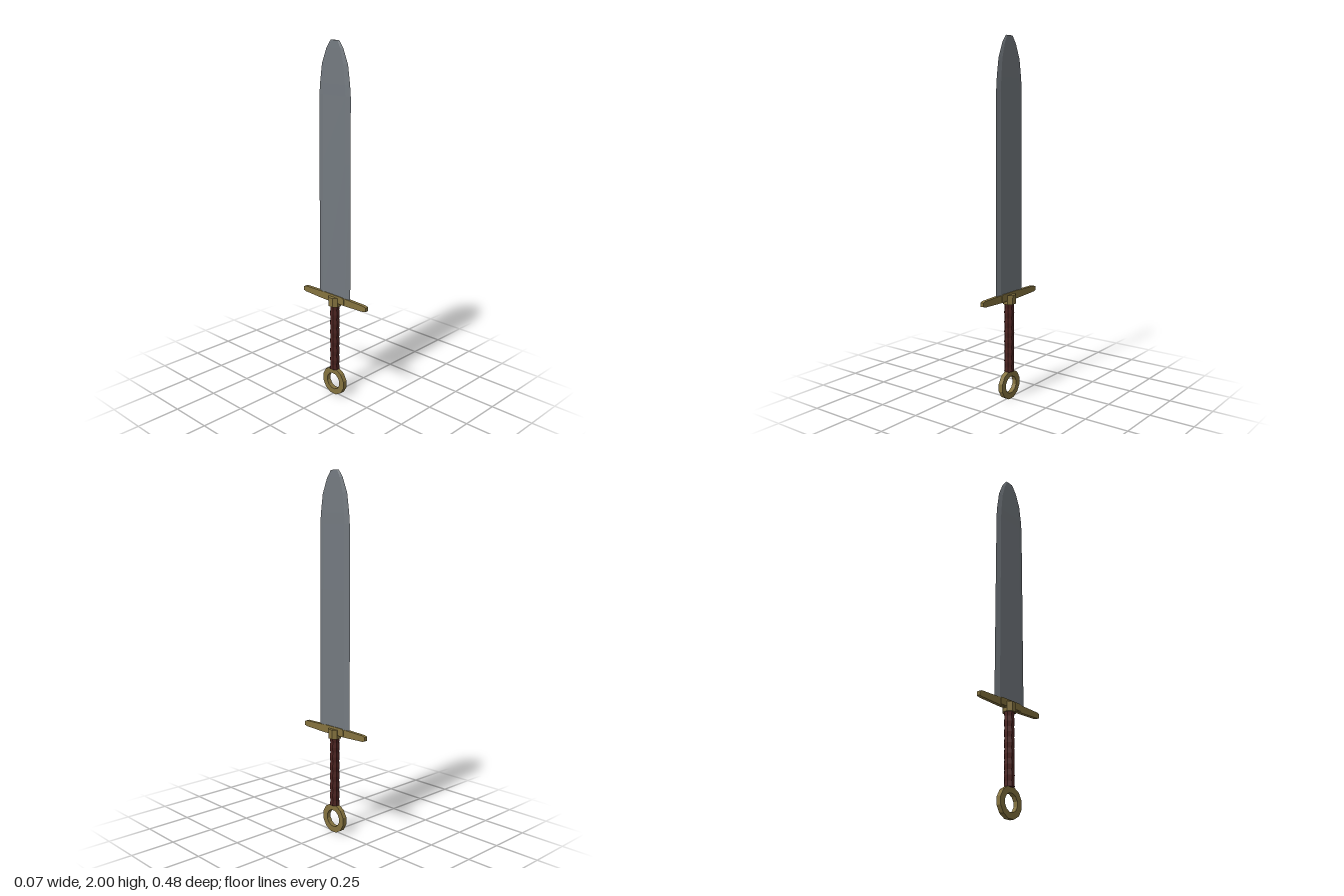
import * as THREE from 'three';

const material = (color, extra = {}) => {
  const m = new THREE.MeshStandardMaterial({ color, flatShading: true, ...extra });
  return m;
};

function part(name, geometry, mat, y = 0) {
  const mesh = new THREE.Mesh(geometry, mat);
  mesh.name = name;
  mesh.position.y = y;
  return mesh;
}

// Extrudes a (z, y) outline to a given thickness centred on x = 0
function plate(shape, thickness) {
  const g = new THREE.ExtrudeGeometry(shape, { depth: thickness, bevelEnabled: false });
  return g.translate(0, 0, -thickness / 2).rotateY(-Math.PI / 2);
}

// Six-sided bevelled sections lofted upward: [y, half width, half thickness]
function bladeGeometry(rows) {
  const pos = [], idx = [], n = 6;
  for (const [y, w, t] of rows) {
    const f = w * 0.72;
    for (const [x, z] of [[0, w], [t, f], [t, -f], [0, -w], [-t, -f], [-t, f]]) pos.push(x, y, z);
  }
  for (let r = 0; r < rows.length - 1; r++) {
    for (let i = 0; i < n; i++) {
      const a = r * n + i, b = r * n + (i + 1) % n;
      idx.push(a, b, b + n, a, b + n, a + n);
    }
  }
  const top = (rows.length - 1) * n;
  for (let i = 1; i < n - 1; i++) {
    idx.push(0, i + 1, i);
    idx.push(top, top + i, top + i + 1);
  }
  const g = new THREE.BufferGeometry();
  g.setAttribute('position', new THREE.Float32BufferAttribute(pos, 3));
  g.setIndex(idx);
  g.computeVertexNormals();
  return g;
}

function polygonPoints(radius, sides) {
  return Array.from({ length: sides }, (_, i) => {
    const a = (i + 0.5) * 2 * Math.PI / sides;
    return new THREE.Vector2(radius * Math.cos(a), radius * Math.sin(a));
  });
}

export function createModel() {
  const sword = new THREE.Group();
  sword.name = 'sword';
  const steel = material(0x747a80);
  const brass = material(0x85733f);
  const leather = material(0x4c2320);

  // Blade with bevelled edges and a rounded, blunt tip
  sword.add(part('blade', bladeGeometry([
    [0.59, 0.118, 0.009], [1.37, 0.115, 0.008], [1.72, 0.113, 0.007],
    [1.78, 0.108, 0.007], [1.88, 0.093, 0.006], [1.96, 0.06, 0.005], [2.0, 0.03, 0.004],
  ]), steel));

  // Crossguard, thinning slightly toward clipped ends
  const outline = [[0.08, 0.612], [0.225, 0.608], [0.24, 0.602], [0.24, 0.58], [0.225, 0.575], [0.08, 0.569]];
  const mirrored = outline.map(([z, y]) => [-z, y]).reverse();
  const guard = new THREE.Shape([...outline, ...mirrored].map(p => new THREE.Vector2(...p)));
  sword.add(part('crossguard', plate(guard, 0.02), brass));

  // Thicker plate around the blade root
  const root = new THREE.Shape([[0.08, 0.575], [0.08, 0.606], [0.07, 0.615], [-0.07, 0.615], [-0.08, 0.606], [-0.08, 0.575]]
    .map(p => new THREE.Vector2(...p)));
  sword.add(part('bladeSocket', plate(root, 0.028), brass));

  // Octagonal collar under the guard
  const collar = new THREE.CylinderGeometry(0.038, 0.038, 0.052, 8).rotateY(Math.PI / 8);
  sword.add(part('collar', collar, brass, 0.576));

  // Grip with wrapped ridges
  const profile = [new THREE.Vector2(0, 0.155)];
  const steps = 14;
  for (let i = 0; i <= steps; i++) {
    profile.push(new THREE.Vector2(i % 2 ? 0.0265 : 0.029, 0.16 + 0.395 * i / steps));
  }
  profile.push(new THREE.Vector2(0, 0.556));
  sword.add(part('grip', new THREE.LatheGeometry(profile, 8).rotateY(Math.PI / 8), leather));

  // Ring pommel
  const ring = new THREE.Shape(polygonPoints(0.083, 12));
  ring.holes.push(new THREE.Path(polygonPoints(0.049, 12)));
  sword.add(part('ringPommel', plate(ring, 0.026), brass, 0.081));

  return sword;
}
